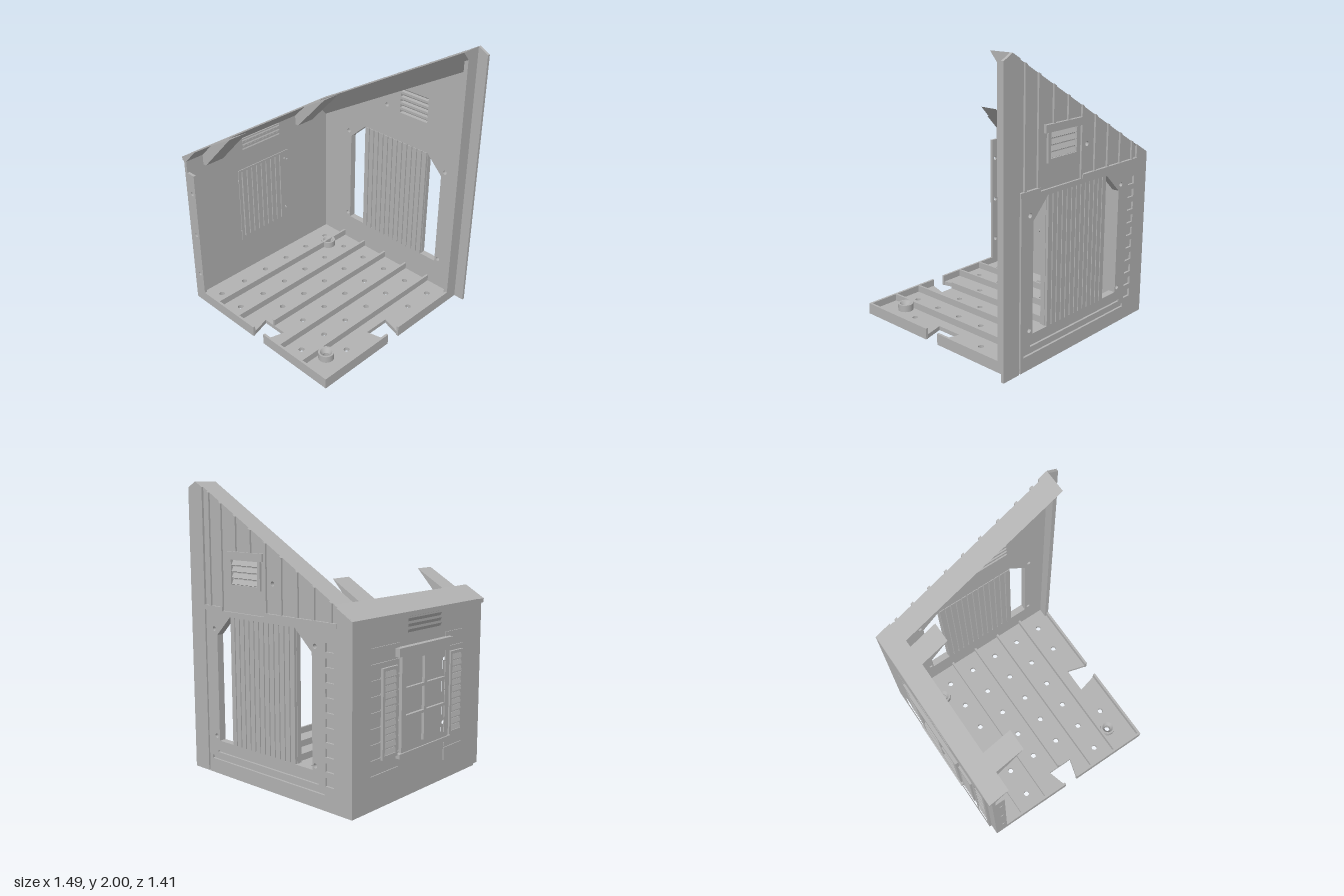
import * as THREE from 'three';

const SLOPE = 0.5755;
const roofY = (x) => 1.2 + (x + 0.72) * SLOPE;

export function createModel() {
  const model = new THREE.Group();
  const plastic = new THREE.MeshStandardMaterial({ color: 0xb2b2b2 });
  plastic.name = 'grey plastic';

  const add = (name, geo) => {
    const m = new THREE.Mesh(geo, plastic);
    m.name = name;
    model.add(m);
    return m;
  };
  // box from min/max ranges
  const box = (name, x0, x1, y0, y1, z0, z1) => {
    const m = add(name, new THREE.BoxGeometry(x1 - x0, y1 - y0, z1 - z0));
    m.position.set((x0 + x1) / 2, (y0 + y1) / 2, (z0 + z1) / 2);
    return m;
  };
  const poly = (pts) => pts.map(([a, b]) => new THREE.Vector2(a, b));
  const rect = (a0, a1, b0, b1) => poly([[a0, b0], [a1, b0], [a1, b1], [a0, b1]]);
  const circle = (a, b, r) => new THREE.Path().absarc(a, b, r, 0, Math.PI * 2).getPoints(14).slice(0, -1);
  const extrude = (outline, holes, depth) => {
    const shape = new THREE.Shape(outline);
    holes.forEach((h) => shape.holes.push(new THREE.Path(h)));
    return new THREE.ExtrudeGeometry(shape, { depth, bevelEnabled: false });
  };
  // plate in the x-y plane
  const backPlate = (name, outline, holes, z0, z1) =>
    add(name, extrude(outline, holes, z1 - z0).translate(0, 0, z0));
  // plate in the z-y plane; points are (z, y)
  const sidePlate = (name, outline, holes, x0, x1) => {
    const flip = (pts) => pts.map((p) => new THREE.Vector2(-p.x, p.y));
    return add(name, extrude(flip(outline), holes.map(flip), x1 - x0).rotateY(Math.PI / 2).translate(x0, 0, 0));
  };

  // ---- Floor with dovetail notches and drain holes
  const floorHoles = [];
  const cols = [-0.565, -0.345, -0.127, 0.092, 0.31, 0.53];
  [-0.52, -0.3, -0.08, 0.14, 0.357, 0.577].forEach((z, r) => cols.forEach((x, c) => {
    if ((r === 2 || r === 3) && c === 5) return;
    if (r === 5 && ![0, 1, 4].includes(c)) return;
    floorHoles.push(circle(x, z, 0.02));
  }));
  floorHoles.push(circle(0.485, 0.512, 0.022));
  const floorOutline = poly([
    [-0.705, -0.69], [0.67, -0.69], [0.67, -0.025], [0.51, -0.07], [0.51, 0.125], [0.67, 0.085],
    [0.67, 0.7], [0.05, 0.7], [0.095, 0.545], [-0.1, 0.545], [-0.055, 0.7], [-0.705, 0.7],
  ]);
  add('floor', extrude(floorOutline, floorHoles, 0.03).rotateX(Math.PI / 2).translate(0, 0.03, 0));
  [-0.46, -0.235, -0.015, 0.203, 0.425].forEach((x, i) =>
    box('floorRib', x - 0.008, x + 0.008, 0.02, 0.08, -0.66, i === 2 ? 0.545 : 0.69));
  [[-0.68, -0.055], [0.05, 0.67]].forEach(([a, b]) => box('floorRim', a, b, 0.001, 0.08, 0.683, 0.7));
  [[-0.66, -0.025], [0.085, 0.7]].forEach(([a, b]) => box('floorRim', 0.653, 0.67, 0.001, 0.08, a, b));
  // countersunk bosses
  [[0.485, 0.512], [-0.455, -0.45]].forEach(([x, z]) => {
    const ring = poly([[0.022, 0.01], [0.055, 0.01], [0.055, 0.08], [0.042, 0.08], [0.022, 0.05], [0.022, 0.01]]);
    // separate segments keep the rim edges crisp
    for (let i = 1; i < ring.length; i++) {
      add('floorBoss', new THREE.LatheGeometry([ring[i - 1], ring[i]], 24)).position.set(x, 0, z);
    }
  });

  // ---- Back wall
  const opening = poly([[-0.4, 0.24], [0.48, 0.24], [0.48, 0.98], [0.345, 1.115], [-0.255, 1.115], [-0.4, 0.98]]);
  const screwHoles = [[-0.425, 1.02], [0.51, 1.02], [-0.425, 0.27], [0.51, 0.27]].map(([x, y]) => circle(x, y, 0.016));
  const ventRows = [0, 1, 2, 3, 4].map((i) => 1.357 + i * 0.0415);
  backPlate('backWall', poly([[-0.72, 0], [0.67, 0], [0.67, roofY(0.67)], [-0.72, 1.2]]),
    [opening, ...screwHoles, circle(-0.05, 1.365, 0.016),
      ...ventRows.map((y) => rect(0.075, 0.325, y - 0.012, y + 0.012))], -0.685, -0.65);
  // lower outer cladding with quoin pockets and bottom grooves
  const quoins = Array.from({ length: 10 }, (_, i) => rect(-0.58, -0.51, 0.16 + i * 0.093, 0.215 + i * 0.093));
  backPlate('backCladding', rect(-0.72, 0.59, 0, 1.15),
    [opening, ...screwHoles, ...quoins, rect(-0.5, 0.56, 0.1, 0.125), rect(-0.45, 0.5, 0.155, 0.17)], -0.7, -0.684);
  backPlate('backEdgeTrim', poly([[0.605, 0], [0.67, 0], [0.67, roofY(0.67)], [0.605, roofY(0.605)]]), [], -0.7, -0.684);
  backPlate('backFlange', poly([[0.66, 0], [0.745, 0], [0.745, 1.96], [0.67, 2], [0.66, roofY(0.66)]]), [], -0.7, -0.68);
  backPlate('backCornerTrim', poly([[-0.72, 1.14], [-0.6, 1.14], [-0.6, roofY(-0.6)], [-0.72, 1.2]]), [], -0.7, -0.684);
  [[-0.6, 0.01], [0.42, 0.6]].forEach(([a, b]) => box('backLedge', a, b, 1.145, 1.175, -0.704, -0.68));
  // battens up to the roof line
  [0.55, 0.43, 0.29, 0.15, 0.01, -0.13, -0.27, -0.41, -0.55].forEach((x) => {
    const low = x > 0.05 && x < 0.4 ? 1.54 : 1.15;
    backPlate('batten', poly([[x - 0.01, low], [x + 0.01, low], [x + 0.01, roofY(x + 0.01)], [x - 0.01, roofY(x - 0.01)]]), [], -0.698, -0.684);
  });
  // vent with sloping louvres and hood
  backPlate('ventFrame', rect(0.05, 0.35, 1.31, 1.55), [rect(0.075, 0.325, 1.335, 1.535)], -0.7, -0.684);
  ventRows.forEach((y) => {
    box('ventLouvre', 0.075, 0.325, y - 0.024, y + 0.024, -0.684, -0.676).rotation.x = 0.5;
  });
  box('ventHood', 0.025, 0.378, 1.5, 1.55, -0.706, -0.684);
  // ribbed shutter in the opening
  box('backShutter', -0.255, 0.345, 0.23, 1.12, -0.682, -0.66);
  for (let i = 0; i < 13; i++) {
    const x = -0.255 + (i + 0.5) * (0.6 / 13);
    box('backShutterSlat', x - 0.019, x + 0.019, 0.235, 1.115, -0.7, -0.645);
  }
  // joining rib on the open edge
  backPlate('backEdgeRib', poly([[0.64, 0], [0.67, 0], [0.67, 1.935], [0.64, 1.92]]), [], -0.68, -0.58);

  // chamfered sloping lip on top of the back wall
  const lip = extrude(poly([[0.685, 0], [0.685, -0.144], [0.65, -0.144], [0.525, 0]]), [], 1.39)
    .rotateY(Math.PI / 2).translate(-0.72, 0, 0);
  const p = lip.attributes.position;
  for (let i = 0; i < p.count; i++) p.setY(i, p.getY(i) + roofY(p.getX(i)));
  lip.computeVertexNormals();
  add('backRoofLip', lip);

  // ---- Left-hand wall
  const windowHole = rect(-0.2, 0.238, 0.335, 0.905);
  const sideScrews = [[0.255, 0.835], [-0.218, 0.835], [0.255, 0.395], [-0.218, 0.395]].map(([z, y]) => circle(z, y, 0.012));
  const slitRows = [1.083, 1.118, 1.153, 1.183].map((y) => y - 0.005);
  const slits = slitRows.map((y) => rect(-0.17, 0.205, y - 0.01, y + 0.01));
  sidePlate('sideWall', rect(-0.69, 0.7, 0, 1.205), [windowHole, ...sideScrews, ...slits], -0.705, -0.68);
  const cells = Array.from({ length: 9 }, (_, i) => rect(0.5, 0.6, 0.13 + i * 0.105, 0.215 + i * 0.105));
  sidePlate('sideTrim', rect(-0.7, 0.625, 0, 1.2), [rect(-0.53, 0.47, 0.12, 1.03), ...cells, ...slits], -0.724, -0.704);
  slitRows.forEach((y) => {
    box('sideLouvre', -0.712, -0.705, y - 0.017, y + 0.017, -0.17, 0.205).rotation.z = 0.5;
  });
  // horizontal siding either side of the window
  for (let i = 0; i < 9; i++) {
    [[-0.53, -0.235], [0.265, 0.47]].forEach(([a, b]) =>
      box('siding', -0.712, -0.704, 0.125 + i * 0.1, 0.215 + i * 0.1, a, b));
  }
  // louvred shutters
  [[-0.42, -0.27], [0.3, 0.45]].forEach(([a, b]) => {
    sidePlate('shutterFrame', rect(a, b, 0.3, 0.88), [rect(a + 0.02, b - 0.02, 0.32, 0.86)], -0.73, -0.704);
    for (let i = 0; i < 12; i++) {
      box('shutterLouvre', -0.725, -0.71, 0.325 + i * 0.045, 0.358 + i * 0.045, a + 0.015, b - 0.015).rotation.z = -0.25;
    }
  });
  // window: outer frame, glazing bars, hood, sill and inner frame
  sidePlate('windowFrame', rect(-0.24, 0.275, 0.3, 0.94), [rect(-0.195, 0.23, 0.34, 0.9)], -0.735, -0.704);
  box('windowBar', -0.73, -0.71, 0.335, 0.905, 0.006, 0.03);
  [0.53, 0.71].forEach((y) => box('windowBar', -0.73, -0.71, y - 0.01, y + 0.01, -0.2, 0.235));
  box('windowHood', -0.745, -0.704, 0.93, 0.985, -0.28, 0.3);
  box('windowSill', -0.745, -0.704, 0.275, 0.305, -0.27, 0.295);
  sidePlate('innerWindowFrame', rect(-0.23, 0.262, 0.31, 0.922), [windowHole, ...sideScrews], -0.682, -0.674);
  box('windowPanel', -0.71, -0.69, 0.33, 0.91, -0.19, 0.228);
  for (let i = 0; i < 9; i++) {
    const z = -0.19 + (i + 0.5) * (0.418 / 9);
    box('windowPanelSlat', -0.695, -0.676, 0.335, 0.905, z - 0.019, z + 0.019);
  }
  // joining rib on the front edge
  backPlate('sideEdgeRib', rect(-0.7, -0.61, 0, 1.085),
    [0.24, 0.583, 0.928].map((y) => circle(-0.645, y, 0.015)), 0.68, 0.7);
  // chamfered lip and roof support tabs
  backPlate('sideRoofLip', poly([[-0.724, 1.17], [-0.68, 1.175], [-0.575, roofY(-0.575)], [-0.724, 1.198]]), [], -0.69, 0.7);
  [[-0.47, -0.32], [0.41, 0.56]].forEach(([a, b]) =>
    backPlate('roofTab', poly([[-0.69, 1.1], [-0.65, 1.1], [-0.365, roofY(-0.365)], [-0.69, roofY(-0.69)]]), [], a, b));

  return model;
}
